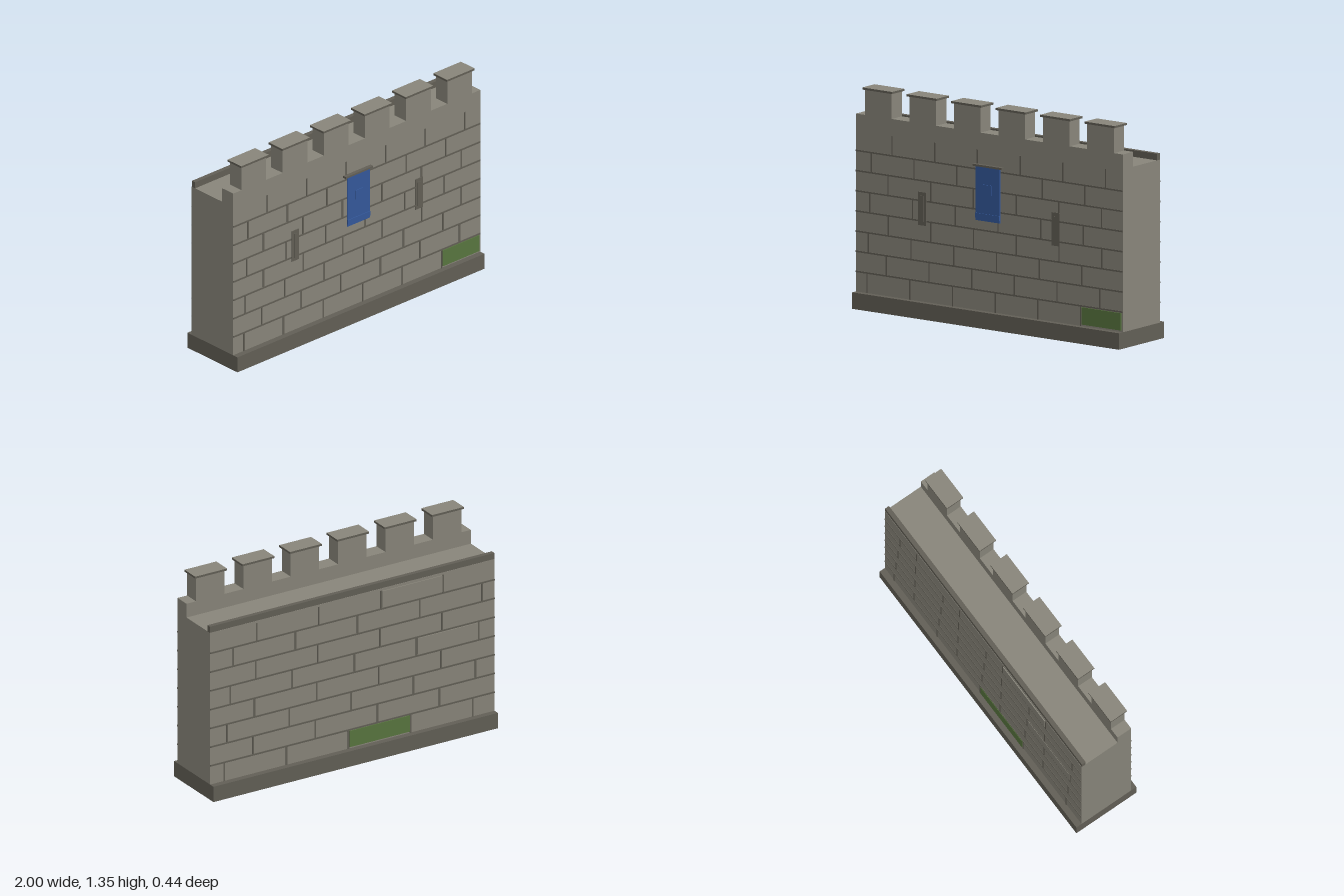
import * as THREE from 'three';

const mat = (name, color) => {
  const m = new THREE.MeshStandardMaterial({ color });
  m.name = name;
  return m;
};

export function createModel() {
  const stone = mat('stone', 0x88857a);
  const dark = mat('dark stone', 0x625f56);
  const moss = mat('moss green', 0x58753f);
  const blue = mat('banner blue', 0x34589a);

  const wall = new THREE.Group();
  wall.name = 'castleWall';

  // Box given by its lower and upper corners
  const box = (name, material, x0, x1, y0, y1, z0, z1, parent = wall) => {
    const mesh = new THREE.Mesh(new THREE.BoxGeometry(x1 - x0, y1 - y0, z1 - z0), material);
    mesh.name = name;
    mesh.position.set((x0 + x1) / 2, (y0 + y1) / 2, (z0 + z1) / 2);
    parent.add(mesh);
    return mesh;
  };

  // Main masses
  box('plinth', dark, -1, 1, 0, 0.1, -0.22, 0.22);
  box('wallBody', stone, -1, 1, 0.1, 1.09, -0.182, 0.182);
  box('parapet', stone, -1, 1, 1.09, 1.18, 0.082, 0.182);
  box('rearCurb', dark, -1, 1, 1.09, 1.13, -0.18, -0.152);

  // Battlements with overhanging caps
  for (let i = 0; i < 6; i++) {
    const x = -0.833 + i * 0.3332;
    box('merlon', stone, x - 0.1, x + 0.1, 1.18, 1.334, 0.082, 0.182);
    box('merlonCap', dark, x - 0.112, x + 0.112, 1.334, 1.347, 0.072, 0.192).material = [
      dark, dark, stone, dark, dark, dark];
  }

  // Raised mortar: bed lines plus staggered upright joints
  const course = 0.1225;
  const addMortar = (side, firstJoints, spacing) => {
    const group = new THREE.Group();
    group.name = side > 0 ? 'frontMortar' : 'rearMortar';
    wall.add(group);
    const z0 = side > 0 ? 0.181 : -0.186;
    const z1 = z0 + 0.005;
    firstJoints.forEach((first, row) => {
      const y = 0.1 + row * course;
      if (row > 0) box('bedJoint', dark, -1, 1, y - 0.005, y + 0.005, z0, z1, group);
      for (let x = first; x < 0.99; x += spacing) {
        box('uprightJoint', dark, x - 0.005, x + 0.005, y, y + course - 0.003, z0, z1, group);
      }
    });
  };
  addMortar(1, [-0.914, -0.77, -0.904, -0.756, -0.893, -0.757, -0.882, -0.727], 0.32);
  addMortar(-1, [-0.846, -0.612, -0.866, -0.622, -0.888, -0.63, -0.91, -0.637], 0.437);

  // Mossy stones and proud rear stones
  box('frontMossStone', moss, 0.693, 0.988, 0.11, 0.215, 0.18, 0.188);
  box('rearMossStone', moss, -0.402, 0.02, 0.11, 0.215, -0.188, -0.18);
  box('rearProudStone', stone, -0.63, -0.208, 0.967, 1.073, -0.188, -0.18);
  box('rearProudStone', stone, -0.88, -0.46, 0.6, 0.705, -0.188, -0.18);

  // Arrow slits
  for (const x of [-0.5, 0.5]) {
    box('arrowSlitFrame', dark, x - 0.03, x + 0.03, 0.563, 0.765, 0.18, 0.187);
    box('arrowSlit', dark, x - 0.012, x + 0.012, 0.585, 0.743, 0.18, 0.19);
  }

  // Hanging banner
  const banner = new THREE.Group();
  banner.name = 'banner';
  wall.add(banner);
  box('bannerRail', dark, -0.11, 0.11, 0.978, 0.99, 0.182, 0.206, banner);
  box('bannerCloth', blue, -0.09, 0.09, 0.65, 0.978, 0.193, 0.2, banner);
  box('bannerHem', blue, -0.09, 0.09, 0.667, 0.695, 0.199, 0.205, banner);
  box('bannerPatch', blue, -0.03, 0.03, 0.812, 0.872, 0.199, 0.205, banner);

  return wall;
}
